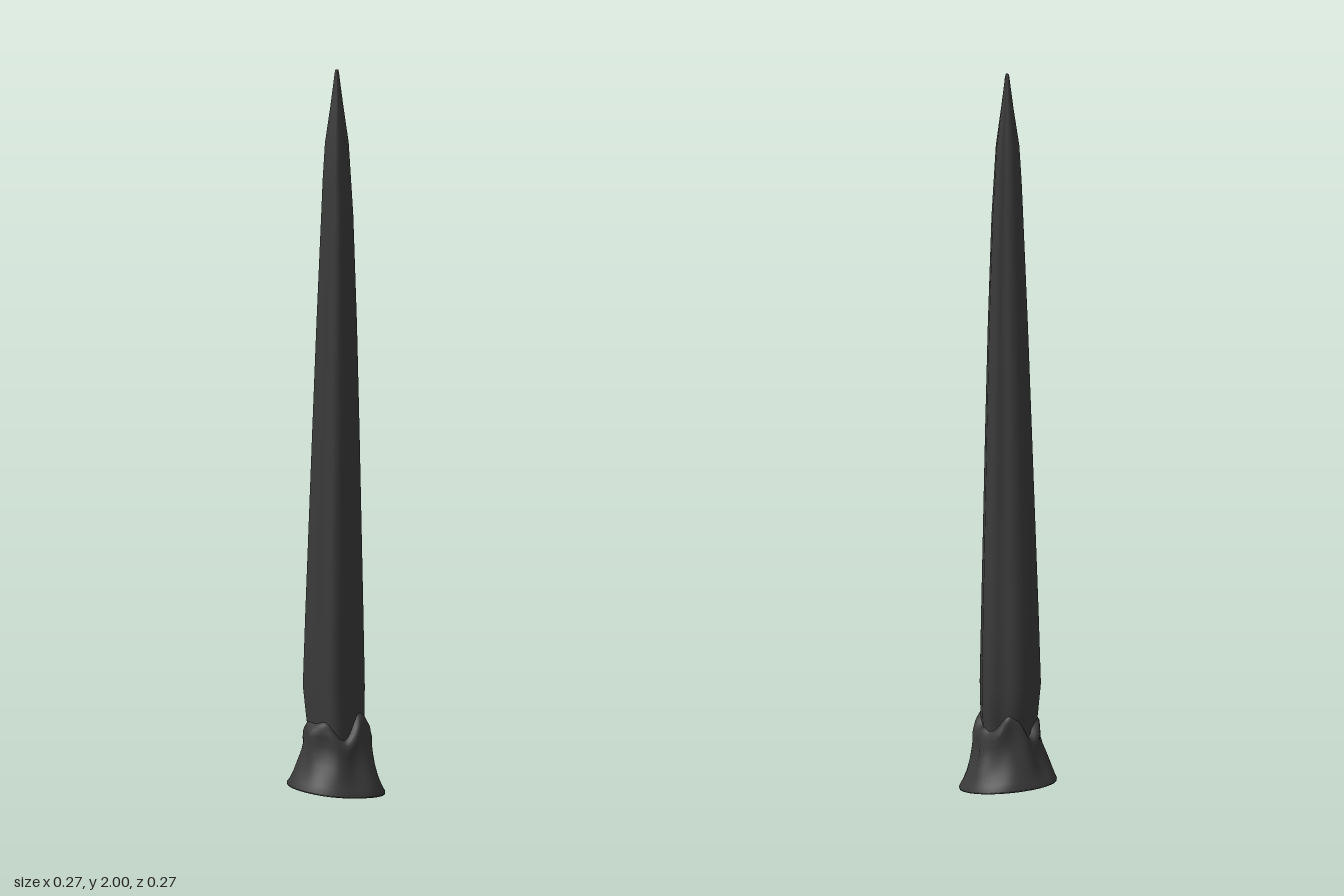
import * as THREE from 'three';

const SIDES = 60;

// Skin a stack of rings; point(i, a) gives the position on ring i at angle a.
function loft(rings, point, name, material) {
  const pos = [], index = [];
  for (let i = 0; i < rings; i++)
    for (let j = 0; j < SIDES; j++)
      pos.push(...point(i, (j / SIDES) * Math.PI * 2));
  for (let i = 0; i < rings - 1; i++)
    for (let j = 0; j < SIDES; j++) {
      const a = i * SIDES + j, b = i * SIDES + (j + 1) % SIDES;
      index.push(a, a + SIDES, b, b, a + SIDES, b + SIDES);
    }
  const geometry = new THREE.BufferGeometry();
  geometry.setAttribute('position', new THREE.Float32BufferAttribute(pos, 3));
  geometry.setIndex(index);
  geometry.computeVertexNormals();
  const mesh = new THREE.Mesh(geometry, material);
  mesh.name = name;
  return mesh;
}

const bump = (x, w) => Math.exp(-((x / w) ** 2));
const angleGap = (a, b) => Math.atan2(Math.sin(a - b), Math.cos(a - b));

export function createModel() {
  const group = new THREE.Group();
  group.name = 'horn';
  const material = new THREE.MeshStandardMaterial({ color: 0x3a3a3a, side: THREE.DoubleSide });

  // Fluted shaft: height, radius, centre x, centre z
  const shaft = [
    [0.1, 0.07, 0, 0], [0.16, 0.071, 0, 0], [0.21, 0.076, -0.002, -0.002],
    [0.3, 0.081, -0.008, -0.008], [0.5, 0.076, -0.006, -0.006], [1.0, 0.062, -0.001, -0.003],
    [1.3, 0.053, 0.002, 0], [1.6, 0.042, 0.004, 0.002], [1.7, 0.037, 0.003, 0.002],
    [1.8, 0.031, 0.003, 0.002], [1.9, 0.017, 0.003, 0.001], [1.96, 0.0095, 0.003, 0.001],
    [1.99, 0.006, 0.003, 0.001], [2.0, 0.004, 0.003, 0.001], [2.0, 0, 0.003, 0.001],
  ];
  group.add(loft(shaft.length, (i, a) => {
    const [y, r, cx, cz] = shaft[i];
    const flute = 1 + 0.06 * Math.cos(5 * (a + 1.2)) + 0.015 * Math.cos(9 * a);
    return [cx + r * flute * Math.cos(a), y, cz + r * flute * Math.sin(a)];
  }, 'shaft', material));

  // Flared, lumpy root: fraction of its height, radius, amount of lumpiness
  const root = [
    [0.2, 0, 0], [0.17, 0.06, 0], [0.08, 0.11, 0], [0, 0.131, 0],
    [0.03, 0.132, 0], [0.12, 0.123, 0.2], [0.25, 0.112, 0.5], [0.4, 0.101, 0.9], [0.55, 0.093, 1],
    [0.68, 0.089, 1], [0.8, 0.09, 0.9], [0.9, 0.088, 0.7], [0.96, 0.081, 0.4], [1, 0.068, 0],
  ];
  group.add(loft(root.length, (i, a) => {
    const [t, radius, lump] = root[i];
    // Squared-off rim, drawn out at +x and +z
    const rim = 1 + 0.025 * Math.cos(4 * a) * bump(angleGap(a, 0.8), 1.2);
    const fold = 0.05 * Math.sin(5 * a + 0.6 + 3 * t) + 0.035 * Math.sin(8 * a - 4 * t);
    const r = radius * rim * (1 + lump * fold);
    const x = r * Math.cos(a) * 1.01;
    // Sloping foot and ragged upper lip
    const foot = 0.0145 - 0.1 * x;
    const lip = 0.195 + 0.025 * Math.sin(3 * a + 1.2) + 0.015 * Math.sin(5 * a);
    return [x, foot + t * (lip - foot), r * Math.sin(a)];
  }, 'root', material));

  return group;
}
